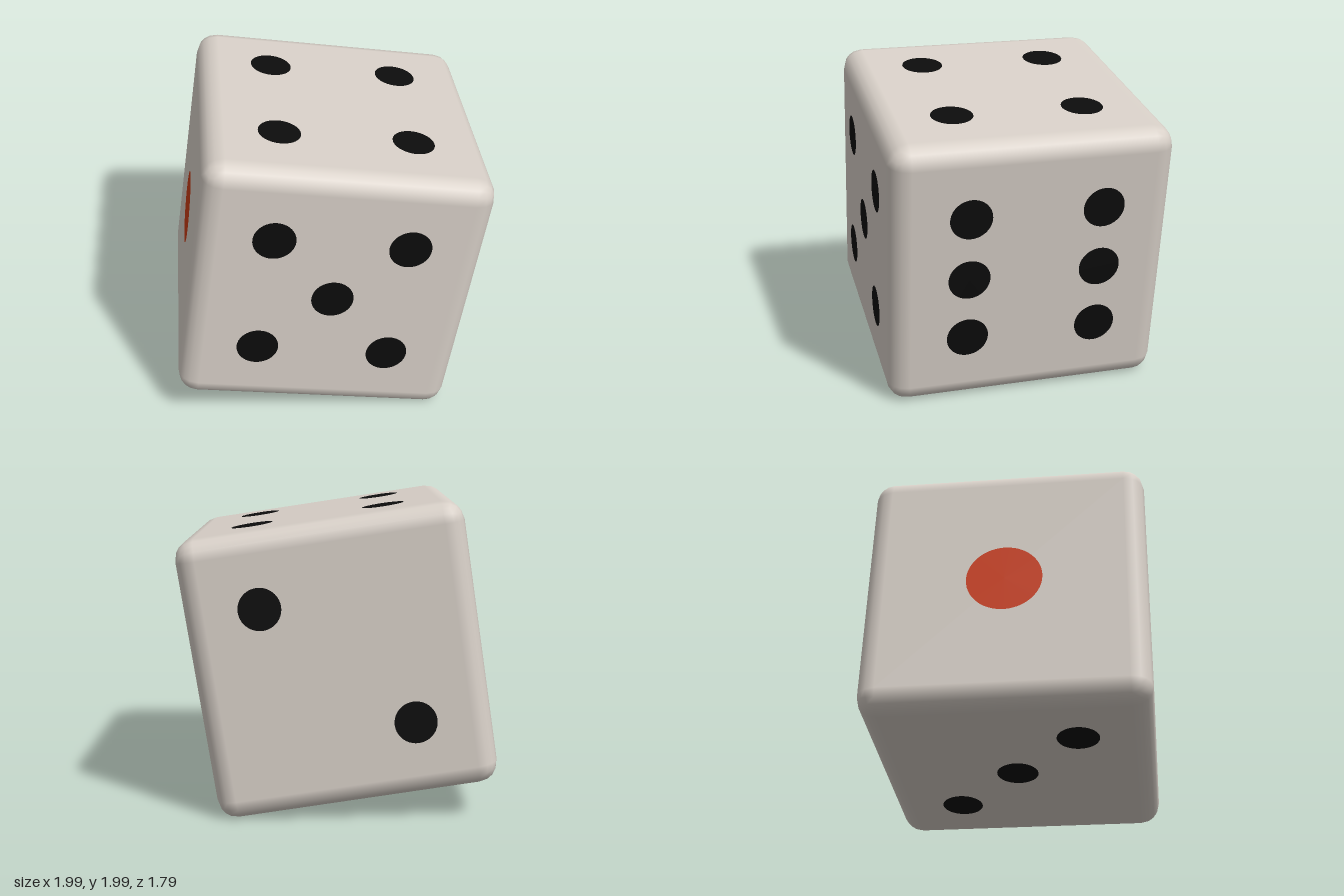
import * as THREE from 'three';
import { RoundedBoxGeometry } from 'three/addons/geometries/RoundedBoxGeometry.js';

const SIZE = 1.785;
const EDGE = 0.13;
const STEP = 0.42; // spacing of the spots from the face centre
const TILT = -8.67;

export function createModel() {
  const ivory = new THREE.MeshStandardMaterial({ color: 0xd8d0c8 });
  ivory.name = 'ivory';
  const black = new THREE.MeshStandardMaterial({ color: 0x0c0c0c });
  black.name = 'black';
  const red = new THREE.MeshStandardMaterial({ color: 0xcc3c14 });
  red.name = 'red';

  const die = new THREE.Group();
  die.name = 'die';

  // Rounded cube
  const body = new THREE.Mesh(new RoundedBoxGeometry(SIZE, SIZE, SIZE, 2, EDGE), ivory);
  body.name = 'body';
  die.add(body);

  // Flat round spots, laid out in each face's own right/up directions
  const spot = new THREE.CircleGeometry(0.133, 40);
  const bigSpot = new THREE.CircleGeometry(0.24, 48);
  const H = Math.PI / 2;
  const corners = [[-1, 1], [1, 1], [-1, -1], [1, -1]];
  const diagonal = [[-1, 1], [1, -1]];
  const faces = [
    { name: 'frontFive', rot: [0, 0, 0], spots: [...corners, [0, 0]] },
    { name: 'backTwo', rot: [0, 2 * H, 0], spots: diagonal },
    { name: 'leftSix', rot: [0, H, 0], spots: [...corners, [-1, 0], [1, 0]], shift: 0.02 },
    { name: 'rightOne', rot: [0, -H, 0], spots: [[0, 0]], big: true },
    { name: 'topFour', rot: [-H, 0, 0], spots: corners },
    { name: 'bottomThree', rot: [H, 0, 0], spots: [...diagonal, [0, 0]] },
  ];
  for (const { name, rot, spots, shift = 0, big } of faces) {
    const face = new THREE.Group();
    face.name = name;
    face.rotation.set(...rot);
    for (const [u, v] of spots) {
      const mesh = new THREE.Mesh(big ? bigSpot : spot, big ? red : black);
      mesh.name = big ? 'largeSpot' : 'spot';
      mesh.position.set(u * STEP + shift, v * STEP, SIZE / 2 + 0.003);
      face.add(mesh);
    }
    die.add(face);
  }

  // Tip the die onto one lower edge
  die.rotation.z = THREE.MathUtils.degToRad(TILT);
  die.position.y = 1;

  const model = new THREE.Group();
  model.name = 'tiltedDie';
  model.add(die);
  return model;
}
